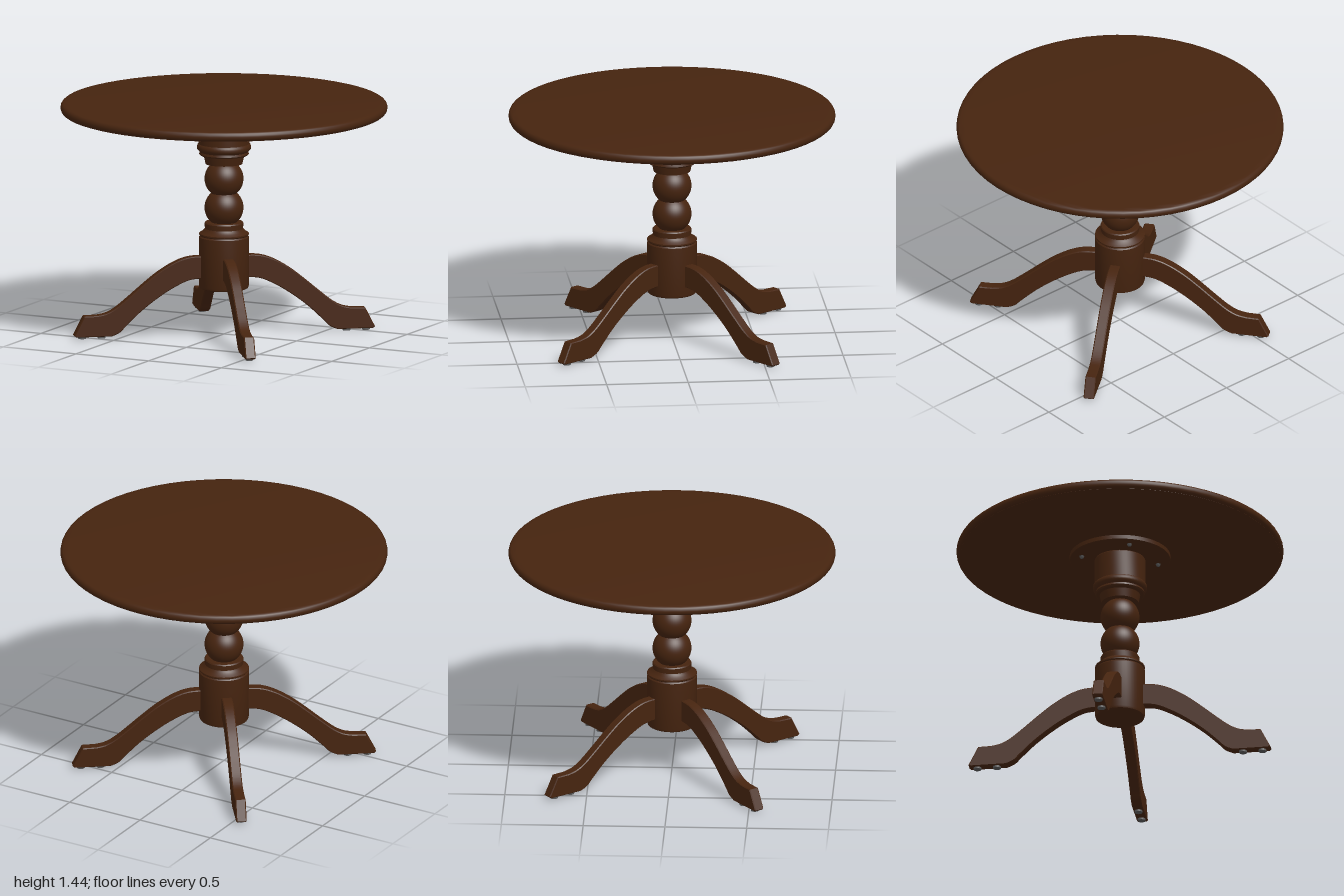
import * as THREE from 'three';
import { toCreasedNormals } from 'three/addons/utils/BufferGeometryUtils.js';

const wood = new THREE.MeshStandardMaterial({ color: 0x46240f });
wood.name = 'darkWood';
const steel = new THREE.MeshStandardMaterial({ color: 0x5a5a5a });
steel.name = 'greySteel';

// Turned part from [radius, y] points listed from bottom to top
function turned(name, points, segments = 48) {
  const profile = points.map(([r, y]) => new THREE.Vector2(r, y));
  const geometry = toCreasedNormals(new THREE.LatheGeometry(profile, segments), 0.6);
  const mesh = new THREE.Mesh(geometry, wood);
  mesh.name = name;
  return mesh;
}

// Half profile of a turned ball, cut flat at both ends
function ball(y, radius, half) {
  const points = [[0, y - half]];
  const limit = Math.asin(half / radius);
  for (let i = 0; i <= 16; i++) {
    const a = -limit + (2 * limit * i) / 16;
    points.push([radius * Math.cos(a), y + radius * Math.sin(a)]);
  }
  points.push([0, y + half]);
  return points;
}

// Curved leg outline in the plane of radius and height
function legGeometry() {
  const shape = new THREE.Shape();
  const v = (x, y) => new THREE.Vector2(x, y);
  shape.moveTo(0.12, 0.355);
  shape.splineThru([v(0.22, 0.345), v(0.32, 0.3), v(0.42, 0.237), v(0.52, 0.16), v(0.61, 0.075), v(0.65, 0.035), v(0.7, 0.012)]);
  shape.lineTo(0.92, 0.012);
  shape.lineTo(0.932, 0.022);
  shape.lineTo(0.872, 0.14);
  shape.lineTo(0.79, 0.142);
  shape.splineThru([v(0.73, 0.155), v(0.67, 0.188), v(0.59, 0.252), v(0.5, 0.328), v(0.41, 0.398), v(0.31, 0.457), v(0.22, 0.487), v(0.12, 0.492)]);
  shape.closePath();
  const geometry = new THREE.ExtrudeGeometry(shape, {
    depth: 0.052, curveSegments: 24, bevelEnabled: true,
    bevelThickness: 0.006, bevelSize: 0.005, bevelOffset: -0.005, bevelSegments: 1,
  });
  geometry.translate(0, 0, -0.026);
  return toCreasedNormals(geometry, 0.5);
}

export function createModel() {
  const model = new THREE.Group();
  model.name = 'pedestalTable';

  // Round top with a softened edge
  const edge = [[0, 1.378], [0.975, 1.378]];
  for (let i = 0; i <= 8; i++) {
    const a = -Math.PI / 2 + (Math.PI * i) / 8;
    edge.push([0.975 + 0.024 * Math.cos(a), 1.408 + 0.029 * Math.sin(a)]);
  }
  edge.push([0.95, 1.44], [0, 1.44]);
  model.add(turned('tableTop', edge, 64));

  // Mounting plate under the top
  model.add(turned('mountingPlate', [[0, 1.35], [0.305, 1.35], [0.308, 1.353], [0.308, 1.38], [0, 1.38]]));

  // Upper block of the column with its mouldings
  model.add(turned('upperColumn', [
    [0, 1.06], [0.113, 1.06], [0.124, 1.11], [0.145, 1.114], [0.152, 1.122], [0.148, 1.135],
    [0.155, 1.142], [0.164, 1.152], [0.166, 1.165], [0.162, 1.178], [0.155, 1.185],
    [0.155, 1.345], [0.15, 1.352], [0, 1.352],
  ]));

  // Two turned balls
  model.add(turned('upperBall', ball(0.966, 0.119, 0.096)));
  model.add(turned('lowerBall', ball(0.786, 0.119, 0.092)));

  // Lower block of the column with its mouldings
  model.add(turned('lowerColumn', [
    [0, 0.285], [0.138, 0.285], [0.148, 0.291], [0.152, 0.304], [0.152, 0.605], [0.146, 0.613],
    [0.152, 0.62], [0.152, 0.628], [0.135, 0.638], [0.122, 0.65], [0.117, 0.658],
    [0.119, 0.69], [0.114, 0.697], [0, 0.697],
  ]));

  // Four legs, each with a glide under its foot
  const leg = legGeometry();
  const pad = new THREE.CylinderGeometry(0.024, 0.024, 0.014, 16);
  const screw = new THREE.CylinderGeometry(0.016, 0.01, 0.014, 12);
  for (let i = 0; i < 4; i++) {
    const arm = new THREE.Group();
    arm.name = 'leg' + (i + 1);
    const body = new THREE.Mesh(leg, wood);
    body.name = 'curvedLeg';
    arm.add(body);
    for (const r of [0.76, 0.88]) {
      const glide = new THREE.Mesh(pad, steel);
      glide.name = 'footGlide';
      glide.position.set(r, 0.007, 0);
      arm.add(glide);
    }
    arm.rotation.y = THREE.MathUtils.degToRad(37.5 + 90 * i);
    model.add(arm);

    // Screw through the mounting plate
    const a = THREE.MathUtils.degToRad(30 + 90 * i);
    const head = new THREE.Mesh(screw, steel);
    head.name = 'plateScrew';
    head.position.set(0.24 * Math.cos(a), 1.344, 0.24 * Math.sin(a));
    model.add(head);
  }
  return model;
}
